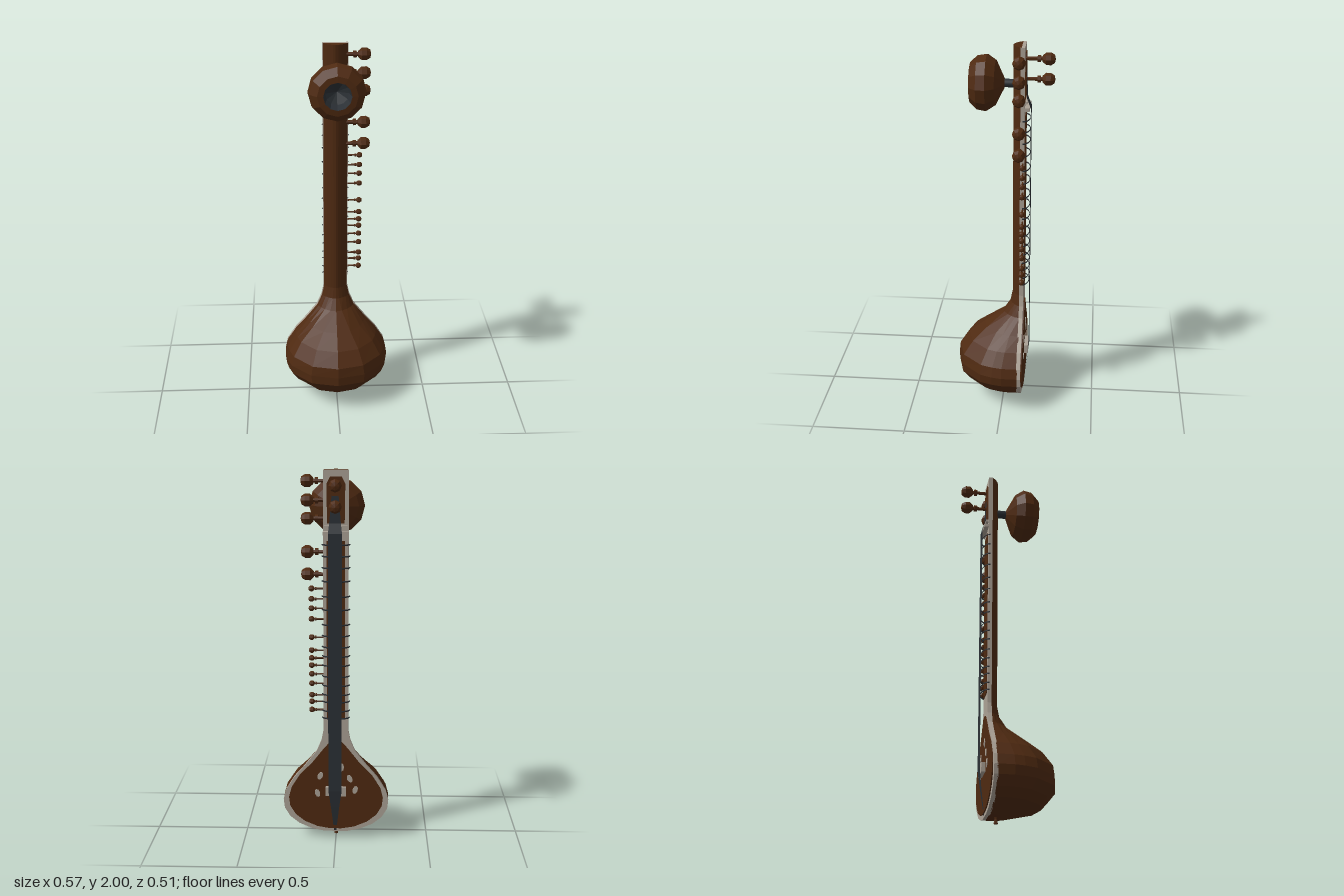
import * as THREE from 'three';

const wood = new THREE.MeshStandardMaterial({ color: 0x4f2a11 });
wood.name = 'dark wood';
const ivory = new THREE.MeshStandardMaterial({ color: 0xaca296 });
ivory.name = 'ivory trim';
const steel = new THREE.MeshStandardMaterial({ color: 0x2b3035 });
steel.name = 'dark steel';
const steelSheet = new THREE.MeshStandardMaterial({ color: 0x2b3035, side: THREE.DoubleSide });
steelSheet.name = 'dark steel sheet';

// rows of the body: height, half width, z of the back
const ROWS = [
  [0.035, 0.06, -0.02], [0.05, 0.13, 0.06], [0.08, 0.2, 0.18], [0.12, 0.25, 0.215],
  [0.17, 0.28, 0.255], [0.22, 0.286, 0.256], [0.275, 0.272, 0.25], [0.35, 0.225, 0.195],
  [0.42, 0.165, 0.11], [0.5, 0.103, 0.005], [0.56, 0.078, -0.033], [0.62, 0.066, -0.045],
  [2.0, 0.066, -0.045],
];
const RIM_Z = -0.09;

function flat(geometry) {
  const g = geometry.index ? geometry.toNonIndexed() : geometry;
  g.computeVertexNormals();
  return g;
}

function add(parent, name, geometry, material, x = 0, y = 0, z = 0) {
  const mesh = new THREE.Mesh(geometry, material);
  mesh.name = name;
  mesh.position.set(x, y, z);
  parent.add(mesh);
  return mesh;
}

// loft rings of equal length, bottom to top, closed and capped
function loft(rings) {
  const n = rings[0].length, pos = [], idx = [];
  rings.forEach((ring) => ring.forEach((p) => pos.push(...p)));
  for (let r = 0; r < rings.length - 1; r++) {
    for (let i = 0; i < n; i++) {
      const a = r * n + i, b = r * n + (i + 1) % n;
      idx.push(a, b, b + n, a, b + n, a + n);
    }
  }
  const top = (rings.length - 1) * n;
  for (let i = 1; i < n - 1; i++) {
    idx.push(0, i + 1, i, top, top + i, top + i + 1);
  }
  const g = new THREE.BufferGeometry();
  g.setAttribute('position', new THREE.Float32BufferAttribute(pos, 3));
  g.setIndex(idx);
  return flat(g);
}

// round-backed bowl running into the neck
function bodyGeometry() {
  const bowl = [[1, 0], [1, 0.25], [0.965, 0.4], [0.88, 0.59], [0.51, 0.9], [0, 1]];
  const neck = [[1, 0], [0.9, 0.25], [0.7, 0.55], [0.45, 0.78], [0.2, 0.94], [0, 1]];
  return loft(ROWS.map(([y, w, back]) => {
    const t = THREE.MathUtils.smoothstep(y, 0.35, 0.6);
    const half = bowl.map((p, i) => [
      THREE.MathUtils.lerp(p[0], neck[i][0], t) * w, y,
      RIM_Z + (back - RIM_Z) * THREE.MathUtils.lerp(p[1], neck[i][1], t),
    ]);
    const left = half.slice(0, -1).map(([x, yy, z]) => [-x, yy, z]);
    return [...left, ...half.reverse()];
  }));
}

// mirrored outline from [half width, height] pairs, as a plate facing -z
function plate(pairs, depth) {
  const pts = [...pairs.map(([w, y]) => [w, y]), ...pairs.map(([w, y]) => [-w, y]).reverse()];
  const shape = new THREE.Shape(pts.map(([x, y]) => new THREE.Vector2(x, y)));
  return new THREE.ExtrudeGeometry(shape, { depth, bevelEnabled: false });
}

// turned tuning peg pointing along +y from the origin
function peg(name, length, r) {
  const group = new THREE.Group();
  group.name = name;
  const shaft = length - 2 * r;
  add(group, 'pegShaft', flat(new THREE.CylinderGeometry(r * 0.3, r * 0.3, shaft + r * 0.3, 6)), wood, 0, shaft / 2, 0);
  add(group, 'pegCollar', flat(new THREE.CylinderGeometry(r * 0.55, r * 0.55, r * 0.5, 8)), wood, 0, shaft - r * 0.5, 0);
  const profile = [[0, 0], [0.5, 0], [1, 0.55], [1, 1.3], [0.65, 1.85], [0, 2]]
    .map(([x, y]) => new THREE.Vector2(x * r, y * r));
  add(group, 'pegHead', flat(new THREE.LatheGeometry(profile, 8)), wood, 0, shaft, 0);
  return group;
}

// flat band through [half width, height, z] stations
function band(stations) {
  const pos = [], idx = [];
  stations.forEach(([w, y, z], i) => {
    pos.push(-w, y, z, w, y, z);
    if (i) idx.push(2 * i - 2, 2 * i - 1, 2 * i, 2 * i - 1, 2 * i + 1, 2 * i);
  });
  const g = new THREE.BufferGeometry();
  g.setAttribute('position', new THREE.Float32BufferAttribute(pos, 3));
  g.setIndex(idx);
  return flat(g);
}

export function createModel() {
  const model = new THREE.Group();
  model.name = 'longNeckedLute';

  add(model, 'bowlAndNeck', bodyGeometry(), wood);

  // ivory rim over the whole front, with wooden panels laid into it
  add(model, 'ivoryRim', plate(ROWS.map(([y, w]) => [w, y]), 0.022), ivory, 0, 0, -0.107);
  const board = ROWS.slice(1, 10).map(([y, w]) => [w - 0.03 + (y > 0.4 ? -0.008 : 0), y + 0.015]);
  add(model, 'soundboard', plate([[0.03, 0.053], ...board, [0.025, 0.56]], 0.008), wood, 0, 0, -0.113);
  add(model, 'fingerboard', plate([[0.048, 0.68], [0.048, 1.64]], 0.006), wood, 0, 0, -0.111);
  add(model, 'headPanel', plate([[0.045, 1.73], [0.048, 1.93], [0.03, 1.965]], 0.006), wood, 0, 0, -0.111);

  // arched frets
  const fretHeights = [0.69, 0.73, 0.78, 0.82, 0.87, 0.92, 0.98, 1.03, 1.08, 1.14, 1.2, 1.28, 1.35, 1.43, 1.5, 1.56, 1.62];
  const fretGeometry = new THREE.TorusGeometry(0.072, 0.004, 4, 10, Math.PI);
  fretGeometry.rotateX(-Math.PI / 2).scale(1, 1, 0.5);
  fretHeights.forEach((y) => add(model, 'fret', fretGeometry, steel, 0, y, -0.098));

  // nut, bridge and the band of strings over them
  add(model, 'nut', new THREE.BoxGeometry(0.134, 0.018, 0.026), ivory, 0, 1.68, -0.119);
  add(model, 'upperNut', new THREE.BoxGeometry(0.12, 0.012, 0.016), ivory, 0, 1.715, -0.113);
  add(model, 'bridge', new THREE.BoxGeometry(0.11, 0.05, 0.022), ivory, 0, 0.275, -0.123);
  add(model, 'strings', band([
    [0.018, 1.87, -0.114], [0.03, 1.73, -0.117], [0.036, 1.68, -0.137],
    [0.036, 0.28, -0.138], [0.022, 0.18, -0.127], [0.006, 0.04, -0.109],
  ]), steelSheet, 0.004);

  // leaf inlays around the bridge
  [[0.085, 0.36, 0.4], [-0.075, 0.345, -0.4], [0.1, 0.26, -0.3], [-0.105, 0.28, 0.3], [-0.03, 0.41, 0]].forEach(([x, y, turn]) => {
    const leaf = add(model, 'leafInlay', flat(new THREE.CylinderGeometry(0.018, 0.018, 0.006, 8)), ivory, x, y, -0.1135);
    leaf.rotation.set(Math.PI / 2, turn, 0);
    leaf.scale.set(0.8, 1, 1.3);
  });

  // tuning pegs on the side and on the front of the head
  const side = (name, y, z, length, r) => {
    const p = peg(name, length, r);
    p.position.set(0.05, y, z);
    p.rotation.z = -Math.PI / 2;
    model.add(p);
  };
  [1.943, 1.845, 1.752, 1.58, 1.463].forEach((y) => side('sidePeg', y, -0.083, 0.132, 0.033));
  [1.39, 1.335, 1.285, 1.228, 1.13, 1.06, 1.017, 0.978, 0.93, 0.878, 0.815, 0.778, 0.732]
    .forEach((y) => side('smallPeg', y, -0.1, 0.093, 0.015));
  [1.93, 1.825].forEach((y) => {
    const p = peg('frontPeg', 0.152, 0.033);
    p.position.set(0, y, -0.105);
    p.rotation.x = -Math.PI / 2;
    model.add(p);
  });

  // second gourd behind the head, open at the back
  const lathe = (pairs) => flat(new THREE.LatheGeometry(pairs.map(([r, h]) => new THREE.Vector2(r, h)), 12));
  const gourd = new THREE.Group();
  gourd.name = 'upperGourd';
  gourd.position.set(0, 1.8, 0);
  gourd.rotation.x = Math.PI / 2;
  model.add(gourd);
  add(gourd, 'gourdShell', lathe([
    [0, 0], [0.024, 0], [0.065, 0.02], [0.117, 0.045], [0.148, 0.09], [0.14, 0.137], [0.103, 0.175], [0.072, 0.178],
  ]), wood);
  add(gourd, 'gourdHollow', lathe([[0.072, 0.178], [0.06, 0.12], [0, 0.09]]), steel);
  add(gourd, 'gourdStem', new THREE.CylinderGeometry(0.022, 0.022, 0.07, 12), steel, 0, -0.03, 0);

  // end pin under the bowl
  add(model, 'endPin', flat(new THREE.CylinderGeometry(0.005, 0.012, 0.025, 6)), wood, 0, 0.0125, -0.05);
  add(model, 'endPinNeck', flat(new THREE.CylinderGeometry(0.008, 0.005, 0.02, 6)), wood, 0, 0.032, -0.05);
  return model;
}
